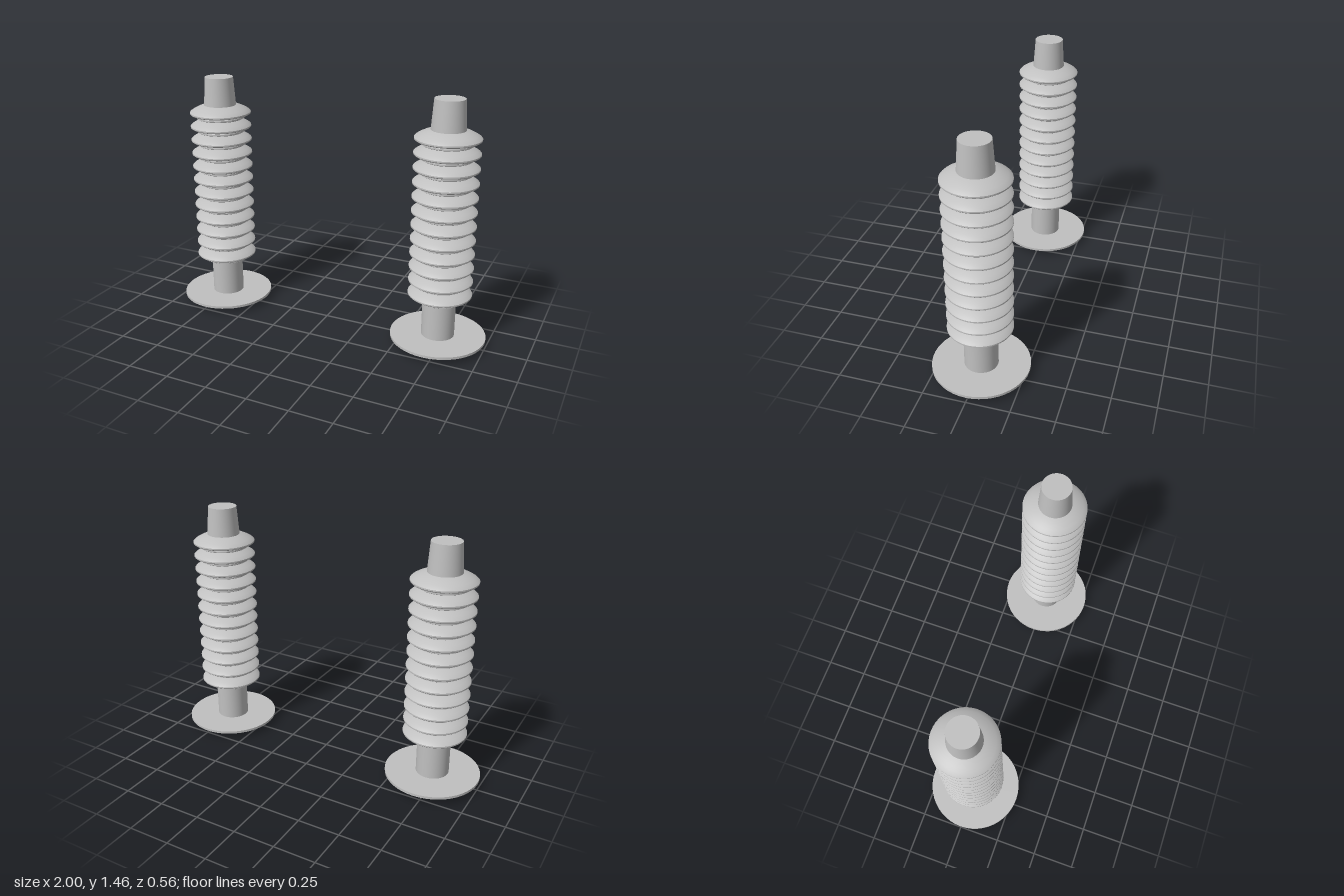
import * as THREE from 'three';
import { toCreasedNormals } from 'three/addons/utils/BufferGeometryUtils.js';

const SEGMENTS = 48;
const SHEDS = 12;
const BASE = 0.28; // underside of the lowest shed
const PITCH = 0.0838;

// One wide domed shed with a smaller lip beneath it: [radius, height], bottom to top
const SHED_PROFILE = [
  [0.09, 0.004], [0.138, 0], [0.145, 0.004], [0.145, 0.013], [0.138, 0.019], [0.125, 0.025],
  [0.15, 0.025], [0.178, 0.026], [0.185, 0.032], [0.185, 0.04], [0.178, 0.047],
  [0.16, 0.058], [0.138, 0.069], [0.115, 0.078], [0.095, 0.0838],
];

export function createModel() {
  const model = new THREE.Group();
  model.name = 'insulatorPair';
  const grey = new THREE.MeshStandardMaterial({ color: 0xc0c0c0 });
  grey.name = 'light grey';

  const shedGeometry = toCreasedNormals(
    new THREE.LatheGeometry(SHED_PROFILE.map(([r, y]) => new THREE.Vector2(r, y)), SEGMENTS),
    0.6
  );

  // Cylinder standing between two heights
  const cylinder = (name, topRadius, bottomRadius, y0, y1) => {
    const mesh = new THREE.Mesh(
      new THREE.CylinderGeometry(topRadius, bottomRadius, y1 - y0, SEGMENTS), grey);
    mesh.name = name;
    mesh.position.y = (y0 + y1) / 2;
    return mesh;
  };

  for (const side of [-1, 1]) {
    const insulator = new THREE.Group();
    insulator.name = side > 0 ? 'leftInsulator' : 'rightInsulator';
    insulator.position.x = side * 0.72;

    // Straight post, mounting flange and tapered top terminal
    insulator.add(
      cylinder('post', 0.097, 0.097, 0, 0.3),
      cylinder('flange', 0.28, 0.28, 0.035, 0.05),
      cylinder('topCap', 0.085, 0.097, BASE + SHEDS * PITCH - 0.003, 1.455)
    );

    // Stack of sheds
    for (let i = 0; i < SHEDS; i++) {
      const shed = new THREE.Mesh(shedGeometry, grey);
      shed.name = `shed${i + 1}`;
      shed.position.y = BASE + i * PITCH;
      insulator.add(shed);
    }
    model.add(insulator);
  }
  return model;
}
